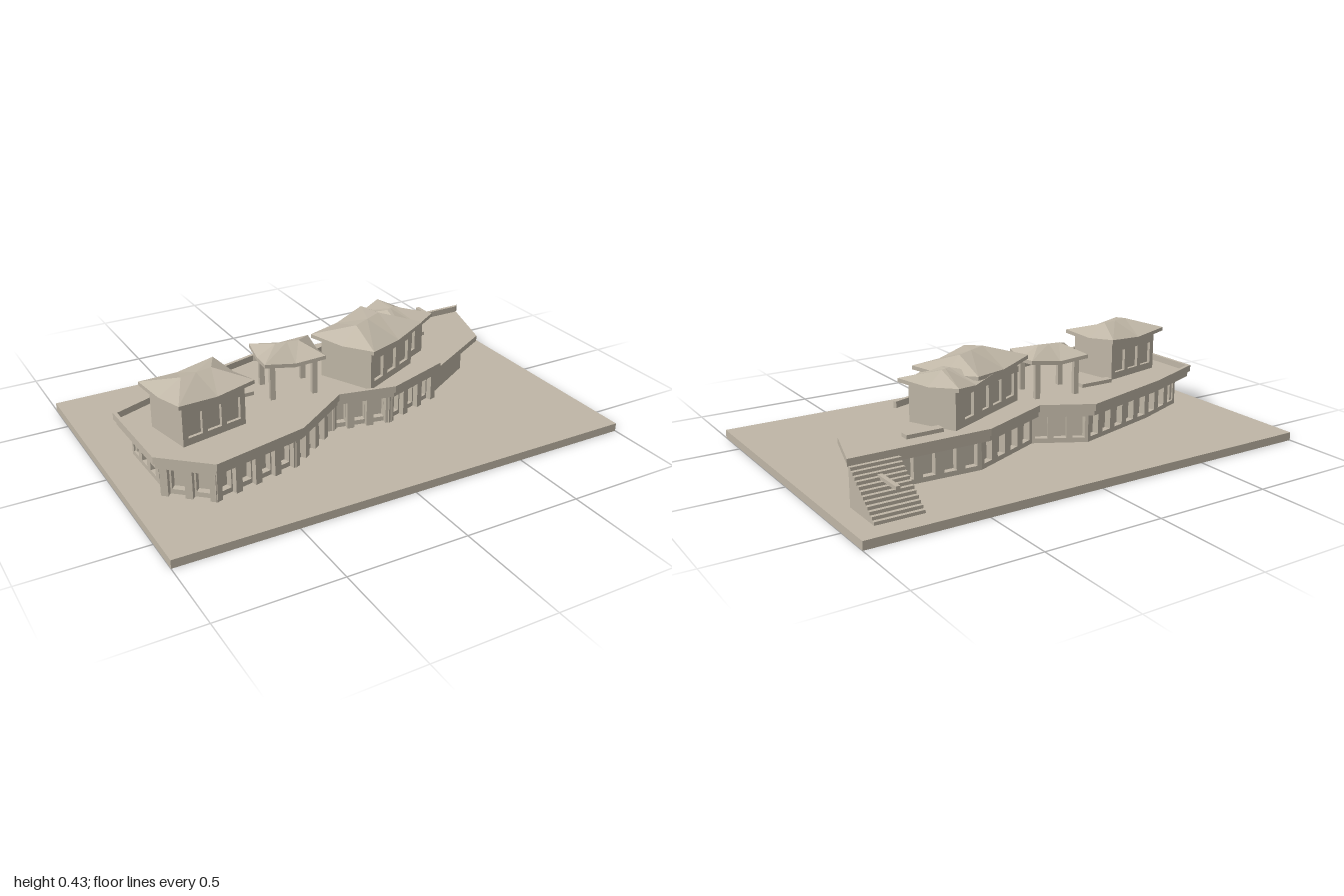
import * as THREE from 'three';

const stone = new THREE.MeshStandardMaterial({ color: 0xbfb6a6 });
stone.name = 'warm stone';

const BASE = 0.035, SLAB = 0.165, DECK = 0.19;

function add(parent, geometry, name, x = 0, y = 0, z = 0) {
  const mesh = new THREE.Mesh(geometry, stone);
  mesh.name = name;
  mesh.position.set(x, y, z);
  parent.add(mesh);
  return mesh;
}

// Box standing on height y
function block(parent, name, w, h, d, x, y, z) {
  return add(parent, new THREE.BoxGeometry(w, h, d), name, x, y + h / 2, z);
}

// Moves every side of a closed [x, z] outline inward by d
function inset(points, d) {
  const n = points.length;
  const normal = (a, b) => {
    const dx = b[0] - a[0], dz = b[1] - a[1], l = Math.hypot(dx, dz);
    return [-dz / l, dx / l];
  };
  return points.map((p, i) => {
    const u = normal(points[(i + n - 1) % n], p), v = normal(p, points[(i + 1) % n]);
    const k = d / (1 + u[0] * v[0] + u[1] * v[1]);
    return [p[0] + (u[0] + v[0]) * k, p[1] + (u[1] + v[1]) * k];
  });
}

// Upright prism over an [x, z] outline
function prism(points, y0, y1) {
  const shape = new THREE.Shape(points.map(([x, z]) => new THREE.Vector2(x, -z)));
  const geometry = new THREE.ExtrudeGeometry(shape, { depth: y1 - y0, bevelEnabled: false });
  return geometry.rotateX(-Math.PI / 2).translate(0, y0, 0);
}

// Wall with a row of window holes, starting at x = 0 and standing on y = 0
function windowWall(length, height, depth, count, width, sill, head, margin = 0) {
  const shape = new THREE.Shape();
  shape.moveTo(0, 0).lineTo(length, 0).lineTo(length, height).lineTo(0, height).closePath();
  const pitch = (length - 2 * margin) / count;
  for (let i = 0; i < count; i++) {
    const a = margin + (i + 0.5) * pitch - width / 2, b = a + width;
    const hole = new THREE.Path();
    hole.moveTo(a, sill).lineTo(a, head).lineTo(b, head).lineTo(b, sill).closePath();
    shape.holes.push(hole);
  }
  return new THREE.ExtrudeGeometry(shape, { depth, bevelEnabled: false });
}

// Hipped roof with lifted corners, made of three rings of eight points
function roofGeometry(w, d, eave, top, ridge, lift = 0.015, thick = 0.016) {
  const ring = [[1, 1], [1, 0], [1, -1], [0, -1], [-1, -1], [-1, 0], [-1, 1], [0, 1]];
  const pos = [], index = [];
  for (let level = 0; level < 3; level++) {
    for (const [sx, sz] of ring) {
      const y = eave + (sx && sz ? lift : 0) - (level === 0 ? thick : 0);
      if (level < 2) pos.push(sx * w / 2, y, sz * d / 2);
      else pos.push(sx * ridge / 2, top, 0);
    }
  }
  pos.push(0, eave - thick, 0);
  for (let i = 0; i < 8; i++) {
    const j = (i + 1) % 8;
    for (const o of [0, 8]) index.push(o + i, o + j, o + 8 + j, o + i, o + 8 + j, o + 8 + i);
    index.push(24, j, i);
  }
  const geometry = new THREE.BufferGeometry();
  geometry.setAttribute('position', new THREE.Float32BufferAttribute(pos, 3));
  geometry.setIndex(index);
  const flat = geometry.toNonIndexed();
  flat.computeVertexNormals();
  return flat;
}

// Group turned about the vertical at a spot on the deck
function site(parent, name, x, z, turn) {
  const group = new THREE.Group();
  group.name = name;
  group.position.set(x, 0, z);
  group.rotation.y = turn;
  parent.add(group);
  return group;
}

// Room with recessed windows at front and back
function house(parent, name, { x, z, turn, w, d, roof, windows }) {
  const g = site(parent, name, x, z, turn);
  const h = roof[2] - DECK - 0.004, skin = 0.014;
  block(g, 'houseCore', w, h, d - 2 * skin, 0, DECK, 0);
  for (const s of [1, -1]) {
    const wall = add(g, windowWall(w, h, skin, windows, 0.066, 0.03, 0.125, windows > 1 ? 0.012 : 0),
      'windowWall', -s * w / 2, DECK, s * (d / 2 - skin));
    if (s < 0) wall.rotation.y = Math.PI;
  }
  add(g, roofGeometry(...roof), 'houseRoof');
}

export function createModel() {
  const model = new THREE.Group();
  model.name = 'hillTerrace';

  block(model, 'groundSlab', 2, BASE, 1.334, 0, 0, 0);

  // Terrace slab and its parapet, open on the right front
  const outline = [
    [-0.91, -0.12], [-0.63, -0.23], [-0.2, -0.35], [0, -0.24], [0.32, -0.38], [0.91, -0.38],
    [0.82, -0.08], [0.47, 0.12], [0.18, 0.22], [-0.06, 0.17], [-0.32, 0.35], [-0.72, 0.44], [-0.9, 0.28],
  ];
  add(model, prism(inset(outline, 0.005), SLAB, DECK), 'terraceSlab');
  const order = [7, 8, 9, 10, 11, 12, 0, 1, 2, 3, 4, 5];
  const outer = inset(outline, -0.005), inner = inset(outline, 0.01);
  const rail = [...order.map((i) => outer[i]), ...order.map((i) => inner[i]).reverse()];
  add(model, prism(rail, DECK - 0.002, 0.217), 'parapet');

  // Lower storey: core, walls with window bays, piers along the front
  const lower = outline.map((p) => p.slice());
  lower[5] = [0.84, -0.36];
  lower[6] = [0.79, -0.07];
  const face = inset(lower, 0.05);
  add(model, prism(inset(face, 0.028), BASE, SLAB), 'lowerCore');
  const storey = site(model, 'lowerStorey', 0, 0, 0);
  face.forEach((p, i) => {
    const q = face[(i + 1) % face.length];
    const length = Math.hypot(q[0] - p[0], q[1] - p[1]);
    const bays = i === 5 || i === 6 ? 0 : Math.max(1, Math.round(length / 0.088));
    const g = site(storey, 'lowerSide', p[0], p[1], Math.atan2(p[1] - q[1], q[0] - p[0]));
    add(g, windowWall(length, SLAB - BASE, 0.03, bays, 0.052, 0.02, 0.112), 'bayWall', 0, BASE, 0);
    if (i >= 7 && i <= 11) {
      for (let k = 0; k <= bays; k++) {
        block(g, 'pier', 0.03, SLAB - BASE, 0.03, (k / bays) * length, BASE, -0.008);
      }
    }
  });

  // Houses: roof lists width, depth, eave height, top height, ridge length
  house(model, 'leftHouse', {
    x: -0.64, z: 0.09, turn: 0.2, w: 0.29, d: 0.22, windows: 3, roof: [0.347, 0.277, 0.367, 0.418, 0.14],
  });
  house(model, 'mainHouse', {
    x: 0.19, z: -0.025, turn: 0.452, w: 0.32, d: 0.25, windows: 3, roof: [0.38, 0.315, 0.368, 0.425, 0.17],
  });
  house(model, 'sideHouse', {
    x: 0.37, z: -0.13, turn: 0.452, w: 0.19, d: 0.22, windows: 1, roof: [0.24, 0.286, 0.355, 0.4, 0.05],
  });

  // Open pavilion on four posts
  const pavilion = site(model, 'pavilion', -0.19, -0.03, -0.155);
  for (const sx of [1, -1]) {
    for (const sz of [1, -1]) {
      block(pavilion, 'pavilionPost', 0.022, 0.16, 0.022, sx * 0.09, DECK, sz * 0.075);
    }
  }
  add(pavilion, roofGeometry(0.258, 0.222, 0.35, 0.4, 0.1), 'pavilionRoof');

  // Benches on the terrace
  block(model, 'bench', 0.16, 0.016, 0.04, 0.53, DECK, -0.23);
  block(model, 'bench', 0.16, 0.016, 0.036, -0.42, DECK, -0.057);

  // Back stairs with a handrail bar
  const steps = 12, run = 0.19 / steps, rise = (DECK - BASE) / steps;
  const profile = new THREE.Shape();
  profile.moveTo(0, 0);
  for (let i = 0; i < steps; i++) {
    profile.lineTo((steps - i) * run, i * rise);
    profile.lineTo((steps - i) * run, (i + 1) * rise);
  }
  profile.lineTo(0, steps * rise);
  const stairs = new THREE.ExtrudeGeometry(profile, { depth: 0.2, bevelEnabled: false });
  add(model, stairs.rotateY(Math.PI / 2), 'stairs', 0.713, BASE, -0.388);
  block(model, 'handrail', 0.018, 0.014, 0.195, 0.815, 0.143, -0.476);

  return model;
}
